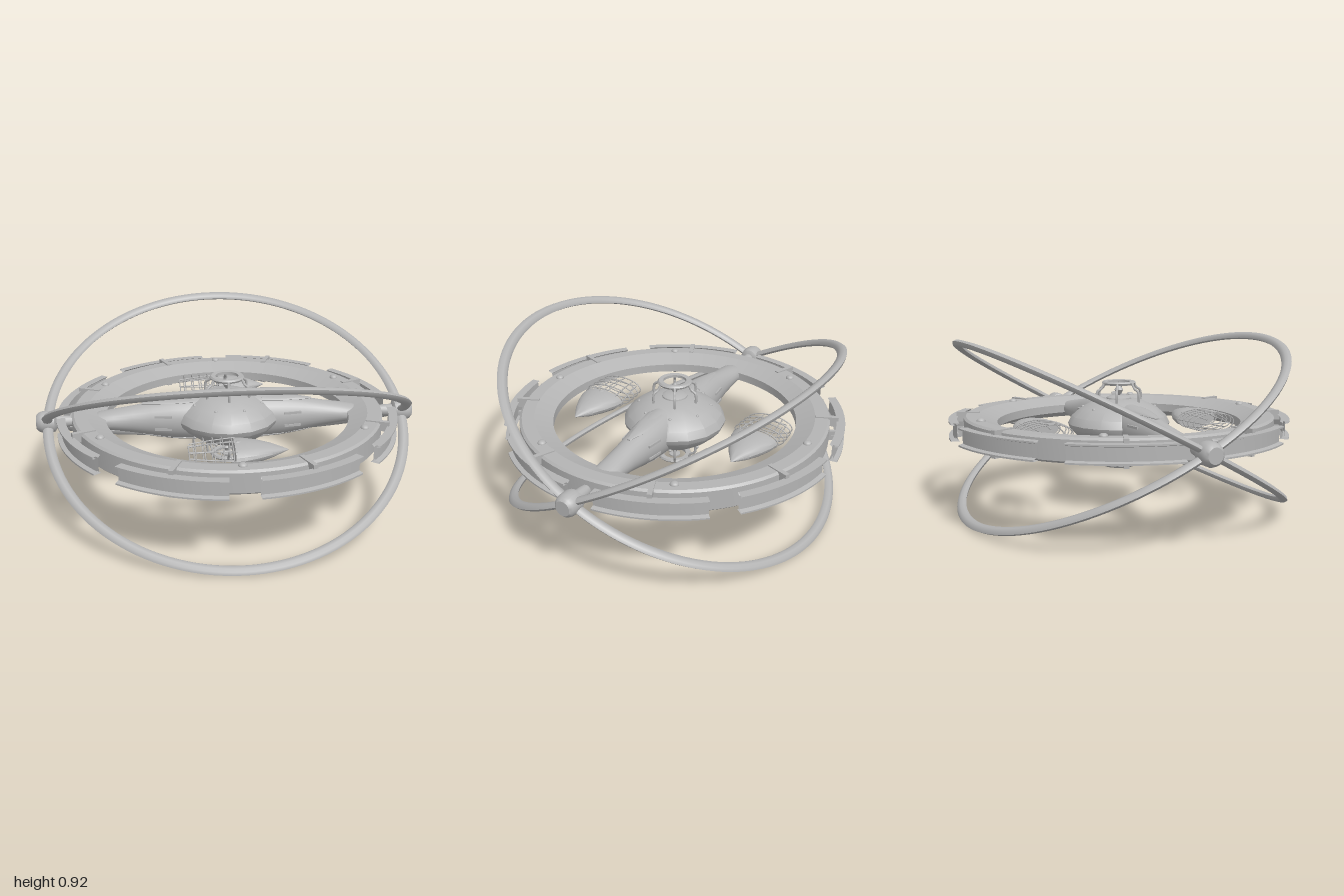
import * as THREE from 'three';
import { toCreasedNormals } from 'three/addons/utils/BufferGeometryUtils.js';

const hull = new THREE.MeshStandardMaterial({ color: 0xb4b4b4, side: THREE.DoubleSide });
hull.name = 'hullGrey';

const V = (x, y, z) => new THREE.Vector3(x, y, z);

function add(parent, name, geo, crease = 0.6) {
  const mesh = new THREE.Mesh(crease ? toCreasedNormals(geo, crease) : geo, hull);
  mesh.name = name;
  parent.add(mesh);
  return mesh;
}

function group(parent, name) {
  const g = new THREE.Group();
  g.name = name;
  parent.add(g);
  return g;
}

const lathe = (pts, seg, start = 0, len = Math.PI * 2) =>
  new THREE.LatheGeometry(pts.map(p => new THREE.Vector2(p[0], p[1])), seg, start, len);

// Elliptical loft along x; each section is [x, half height, half depth], x increasing
function loft(sections, sides = 24) {
  const n = sections.length - 1;
  const geo = new THREE.CylinderGeometry(1, 1, n, sides, n);
  const p = geo.attributes.position;
  for (let i = 0; i < p.count; i++) {
    const s = sections[Math.round(p.getY(i) + n / 2)];
    p.setXYZ(i, s[0], p.getZ(i) * s[1], p.getX(i) * s[2]);
  }
  geo.computeVertexNormals();
  return geo;
}

const tube = (pts, r, closed = false, seg = 24) =>
  new THREE.TubeGeometry(new THREE.CatmullRomCurve3(pts, closed), seg, r, 6, closed);

// Ring of posts holding a hoop around a central spindle, opening upward
function cage(parent, name, lower) {
  const g = group(parent, name);
  for (let i = 0; i < 6; i++) {
    const a = i * Math.PI / 3;
    const path = [[0.125, 0.115], [0.128, 0.15], [0.122, 0.175], [0.1, 0.19], [0.085, 0.215]];
    add(g, 'cagePost', tube(path.map(([r, y]) => V(r * Math.sin(a), y, r * Math.cos(a))), 0.007), 0);
  }
  add(g, 'cageHoop', lathe([[0.06, 0.21], [0.085, 0.208], [0.09, 0.218], [0.083, 0.226], [0.06, 0.224], [0.06, 0.21]], 32));
  add(g, 'collar', lathe([[0.07, 0.115], [0.065, 0.14], [0.045, 0.15], [0, 0.15]], 24));
  add(g, 'spindle', lathe([[0, 0.145], [0.008, 0.155], [0.024, 0.18], [0.004, 0.21], [0.004, 0.224], [0, 0.224]], 12));
  if (lower) add(g, 'sensorDish', lathe([[0, 0.21], [0.03, 0.213], [0.03, 0.22], [0.01, 0.225], [0.008, 0.235], [0, 0.235]], 16));
}

export function createModel() {
  const model = new THREE.Group();
  model.name = 'ringStation';
  const core = group(model, 'station');
  core.position.y = 0.46;

  // Two crossed outer hoops tilted about the x axis
  const hoopSection = [[0.965, 0], [0.955, 0.013], [0.938, 0.017], [0.92, 0.013], [0.911, 0],
    [0.92, -0.013], [0.938, -0.017], [0.955, -0.013], [0.965, 0]].reverse();
  for (const s of [1, -1]) {
    const hoop = add(core, 'outerHoop', lathe(hoopSection.slice().reverse().map(([r, y]) => [r, y]), 128), 1);
    hoop.rotation.x = s * 0.491;
  }

  // Hubs, shafts and tapered arms on both sides
  const sides = [group(core, 'leftSide'), group(core, 'rightSide')];
  sides[1].rotation.y = Math.PI;
  for (const g of sides) {
    add(g, 'hub', loft([[0.892, 0.035, 0.035], [0.902, 0.052, 0.052], [0.92, 0.057, 0.057],
      [0.965, 0.057, 0.057], [0.985, 0.05, 0.05], [0.997, 0.038, 0.038]]));
    add(g, 'shaft', loft([[0.72, 0.015, 0.012], [0.78, 0.02, 0.02], [0.84, 0.03, 0.03], [0.9, 0.032, 0.032]], 16));
    add(g, 'arm', loft([[0.08, 0.12, 0.1], [0.2, 0.115, 0.1], [0.3, 0.107, 0.092], [0.4, 0.09, 0.077],
      [0.5, 0.071, 0.068], [0.6, 0.055, 0.066], [0.67, 0.043, 0.067], [0.695, 0.036, 0.06], [0.708, 0.025, 0.045]], 28));
    // Raised fairings above and below each arm root
    for (const s of [1, -1]) {
      const fairing = add(g, 'armFairing', loft([[0.18, 0.012, 0.055], [0.28, 0.014, 0.05], [0.38, 0.01, 0.03], [0.45, 0.004, 0.01]], 12));
      fairing.position.y = s * 0.112;
      fairing.rotation.z = -s * 0.06;
      for (const z of [1, -1]) {
        const slot = add(g, 'armVent', new THREE.BoxGeometry(0.09, 0.012, 0.01));
        slot.position.set(0.34, s * 0.035, z * 0.082);
        slot.rotation.y = z * 0.12;
      }
    }
  }

  // Central hull
  add(core, 'centralHull', lathe([[0, -0.125], [0.1, -0.12], [0.17, -0.1], [0.225, -0.06], [0.262, -0.02],
    [0.27, 0.005], [0.25, 0.045], [0.2, 0.088], [0.13, 0.122], [0.07, 0.133], [0, 0.135]], 16), 0.45);
  cage(core, 'upperCage', false);
  const lower = group(core, 'lowerSide');
  lower.rotation.x = Math.PI;
  cage(lower, 'lowerCage', true);
  for (let i = 0; i < 8; i++) {
    const a = (i + 0.5) * Math.PI / 4;
    for (const s of [1, -1]) {
      const stud = add(core, 'hullStud', new THREE.SphereGeometry(0.009, 8, 6), 0);
      stud.position.set(0.19 * Math.sin(a), s * 0.09, 0.19 * Math.cos(a));
    }
  }

  // Main habitat ring with sloped inner faces
  add(core, 'mainRing', lathe([[0.64, -0.022], [0.72, -0.054], [0.735, -0.06], [0.8, -0.06], [0.812, -0.05],
    [0.812, 0.05], [0.8, 0.06], [0.735, 0.06], [0.72, 0.054], [0.64, 0.022], [0.64, -0.022]], 96), 0.35);

  // Eight channel-shaped outer plates with struts
  const channel = [[0.845, -0.046], [0.89, -0.046], [0.89, -0.038], [0.868, -0.032], [0.868, 0.032],
    [0.89, 0.038], [0.89, 0.046], [0.845, 0.046], [0.858, 0.036], [0.858, -0.036], [0.845, -0.046]];
  const span = THREE.MathUtils.degToRad(35.5);
  for (let i = 0; i < 8; i++) {
    const g = group(core, 'plateSection');
    g.rotation.y = (i + 0.5) * Math.PI / 4;
    add(g, 'outerPlate', lathe(channel, 14, -span / 2, span), 0.3);
    for (const s of [1, -1]) {
      const strut = add(g, 'strut', new THREE.BoxGeometry(0.024, 0.026, 0.12));
      strut.position.set(0, s * 0.053, 0.795);
      const brace = add(g, 'brace', new THREE.BoxGeometry(0.02, 0.03, 0.06));
      brace.position.set(0, s * 0.03, 0.835);
    }
  }

  // Small domes on both faces of the ring
  for (let i = 0; i < 6; i++) {
    const a = i * Math.PI / 3;
    for (const s of [1, -1]) {
      const dome = add(core, 'ringDome', new THREE.SphereGeometry(0.022, 14, 10), 0);
      dome.scale.y = 0.7;
      dome.position.set(0.752 * Math.sin(a), s * 0.06, 0.752 * Math.cos(a));
    }
  }

  // Two free-floating shuttles with wire tails, noses toward +x
  for (const s of [1, -1]) {
    const g = group(core, 'shuttle');
    g.position.z = s * 0.465;
    add(g, 'shuttleNose', loft([[-0.01, 0.05, 0.122], [0.03, 0.052, 0.118], [0.1, 0.045, 0.092],
      [0.17, 0.031, 0.058], [0.22, 0.015, 0.026], [0.255, 0.002, 0.003]], 20), 0.5);
    const ridge = add(g, 'shuttleCanopy', loft([[0, 0.012, 0.02], [0.08, 0.015, 0.025], [0.2, 0.002, 0.004]], 10));
    ridge.position.y = 0.042;
    ridge.rotation.z = -0.12;
    for (const [x, w] of [[-0.2, 0.125], [-0.155, 0.135], [-0.11, 0.138], [-0.065, 0.14], [-0.02, 0.125]]) {
      const loop = [];
      for (let i = 0; i < 16; i++) loop.push(V(x, 0.05 * Math.sin(i * Math.PI / 8), w * Math.cos(i * Math.PI / 8)));
      add(g, 'tailLoop', tube(loop, 0.003, true, 32), 0);
    }
    for (let i = 0; i < 8; i++) {
      const c = Math.cos(i * Math.PI / 4), h = Math.sin(i * Math.PI / 4);
      add(g, 'tailWire', tube([V(0, 0.05 * h, 0.122 * c), V(-0.11, 0.045 * h, 0.1 * c), V(-0.228, 0.03 * h, 0.078 * c)], 0.003, false, 6), 0);
    }
    add(g, 'tailBar', tube([V(-0.228, 0, -0.078), V(-0.228, 0, 0.078)], 0.003, false, 2), 0);
  }
  return model;
}
